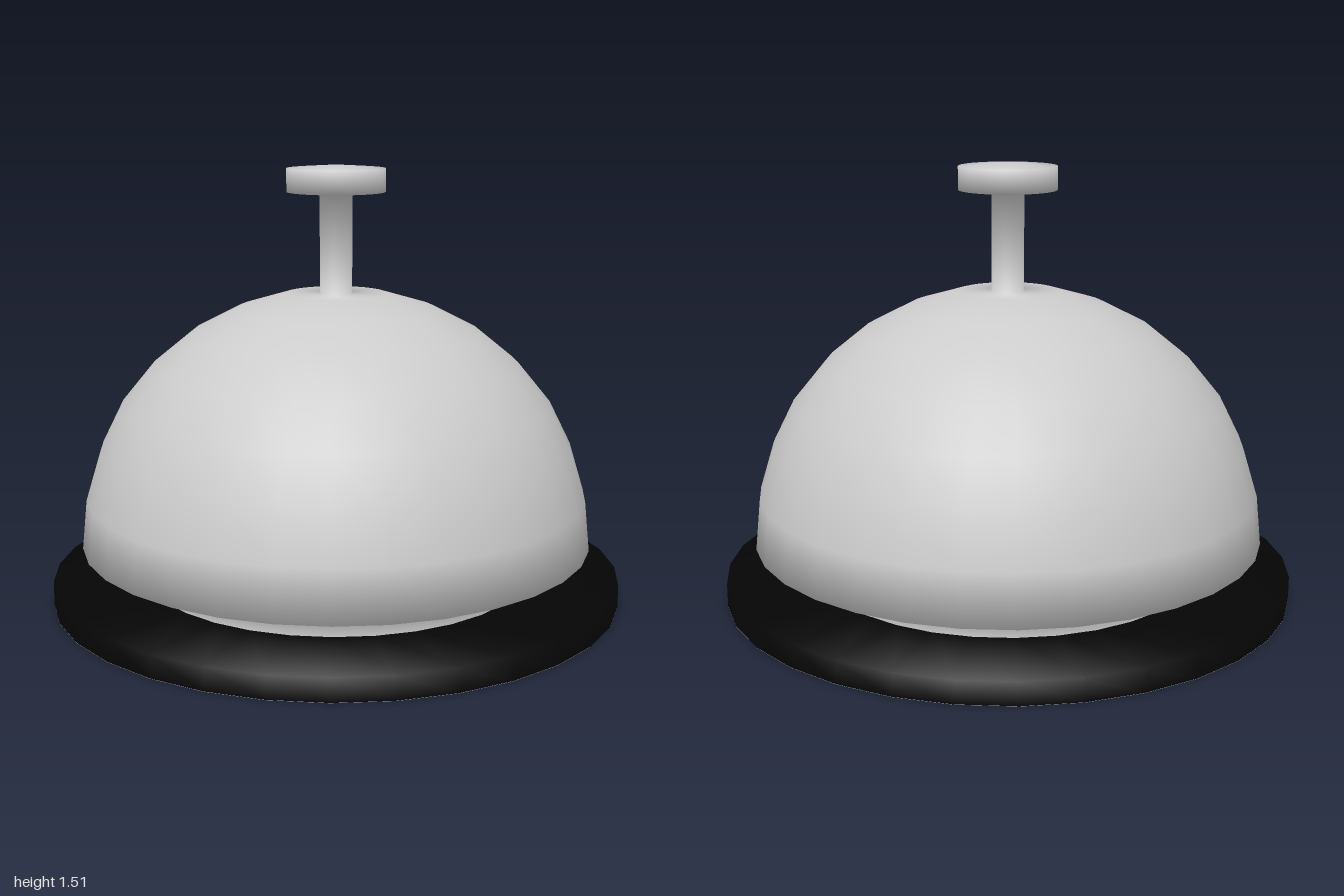
import * as THREE from 'three';

const SIDES = 32;

// Smooth surface of revolution from [radius, height] pairs, listed bottom to top.
// Each ring's normal is the even average of its neighbouring bands.
function turned(name, profile, material) {
  const points = profile.map(([r, y]) => new THREE.Vector2(r, y));
  const geometry = new THREE.LatheGeometry(points, SIDES);
  const bands = points.slice(1).map((p, i) =>
    new THREE.Vector2(p.y - points[i].y, points[i].x - p.x).normalize());
  const rings = points.map((_, i) => {
    const below = bands[Math.max(i - 1, 0)];
    const above = bands[Math.min(i, bands.length - 1)];
    return below.clone().add(above).normalize();
  });
  const normals = geometry.attributes.normal;
  for (let i = 0; i < normals.count; i++) {
    const angle = Math.floor(i / points.length) * Math.PI * 2 / SIDES;
    const n = rings[i % points.length];
    normals.setXYZ(i, n.x * Math.sin(angle), n.y, n.x * Math.cos(angle));
  }
  const mesh = new THREE.Mesh(geometry, material);
  mesh.name = name;
  return mesh;
}

export function createModel() {
  const group = new THREE.Group();
  group.name = 'deskBell';
  const metal = new THREE.MeshStandardMaterial({ color: 0xcccccc });
  const black = new THREE.MeshStandardMaterial({ color: 0x050505 });

  // Black base: outer wall and flat top
  group.add(turned('baseRing', [[1, 0.001], [1, 0.08], [0.68, 0.08]], black));

  // Flat underside of the base, its edge softly rounded by shading
  group.add(turned('baseUnderside', [[0, 0], [0.7, 0], [1, 0], [1, 0.001]], metal));

  // Collar, flared underside, dome, plunger stem and button in one smooth skin
  group.add(turned('bellAndPlunger', [
    [0.685, 0.08], [0.685, 0.165],
    [0.895, 0.197], [0.877, 0.37], [0.825, 0.54], [0.75, 0.69], [0.635, 0.83],
    [0.5, 0.94], [0.345, 1.02], [0.18, 1.07],
    [0.056, 1.07], [0.056, 1.42],
    [0.17, 1.42], [0.17, 1.5], [0.06, 1.508], [0, 1.508],
  ], metal));

  return group;
}
